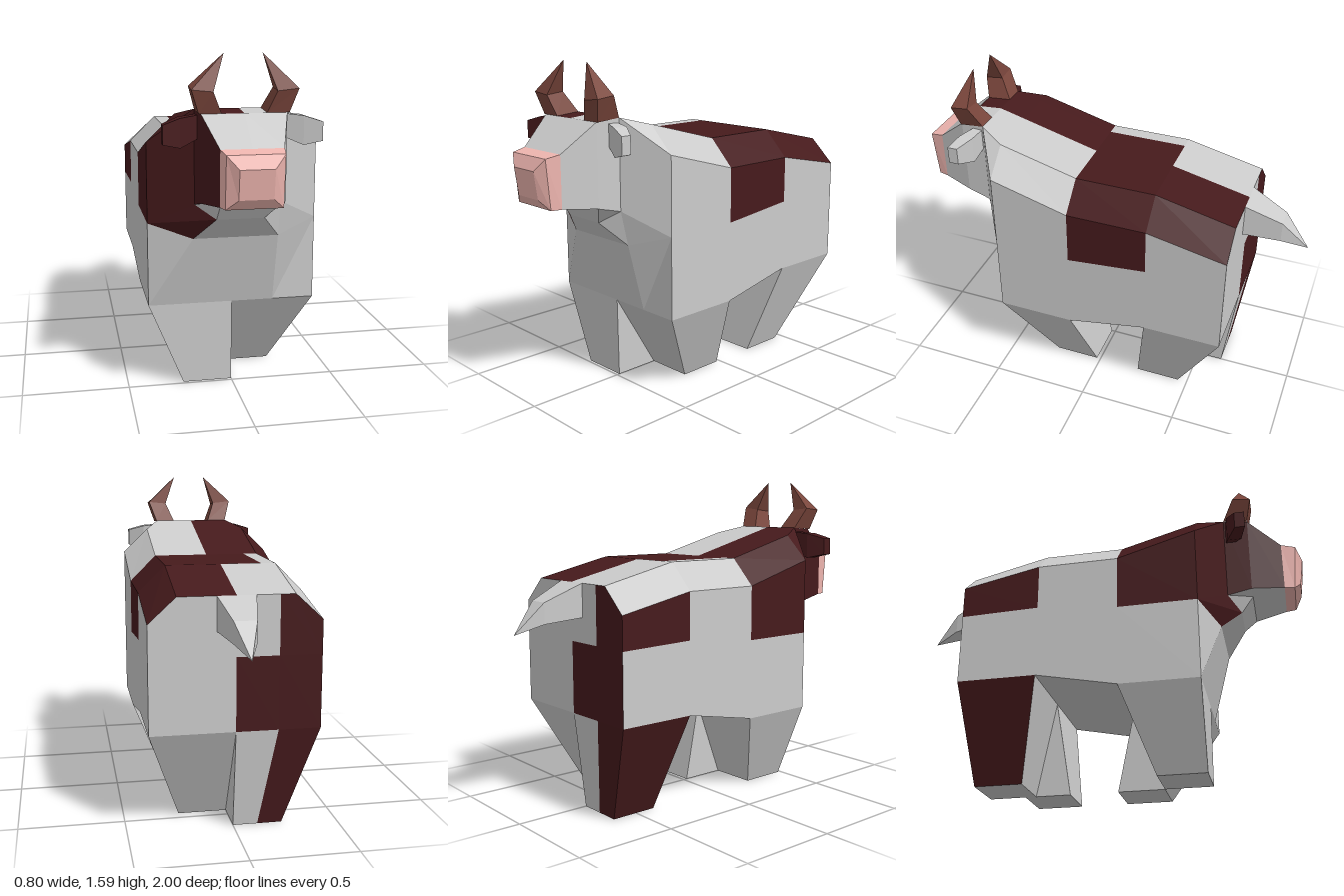
import * as THREE from 'three';

const COAT = 0xcccccc, PATCH = 0x461a1c, HORN = 0x7a463c, PINK = 0xeeb5af;

// One flat-shaded mesh from a list of convex faces (counter-clockwise corners)
function meshOf(name, color, faces) {
  const pos = [];
  for (const f of faces)
    for (let i = 1; i < f.length - 1; i++) pos.push(...f[0], ...f[i], ...f[i + 1]);
  const geo = new THREE.BufferGeometry();
  geo.setAttribute('position', new THREE.Float32BufferAttribute(pos, 3));
  geo.computeVertexNormals();
  const mesh = new THREE.Mesh(geo, new THREE.MeshStandardMaterial({ color, flatShading: true }));
  mesh.name = name;
  return mesh;
}

// A part collects faces by colour; faces are written for +x and mirrored for side -1
function makePart(name) {
  const buckets = new Map();
  const add = (side, color, ...face) => {
    const f = side > 0 ? face : face.map(([x, y, z]) => [-x, y, z]).reverse();
    if (!buckets.has(color)) buckets.set(color, []);
    buckets.get(color).push(f);
  };
  const build = () => {
    const group = new THREE.Group();
    group.name = name;
    for (const [color, faces] of buckets)
      group.add(meshOf(name + (color === PATCH ? 'Patch' : 'Surface'), color, faces));
    return group;
  };
  return { add, build };
}

// Skin a stack of rings; a one-point ring makes a tip. colorAt(i) colours each side
function loft(part, side, rings, colorAt) {
  for (let k = 0; k < rings.length - 1; k++) {
    const a = rings[k], b = rings[k + 1];
    a.forEach((p, i) => {
      const j = (i + 1) % a.length;
      if (b.length === 1) part.add(side, colorAt(i), p, a[j], b[0]);
      else part.add(side, colorAt(i), p, a[j], b[j], b[i]);
    });
  }
  const end = rings[rings.length - 1];
  if (end.length > 2) part.add(side, colorAt(0), ...end);
}

// Body sections: z, back height, shoulder, mid, belly
const SECTIONS = [
  [0.49, 1.305, 1.18, 0.8, 0.4],
  [0.1, 1.2, 1.07, 0.8, 0.4],
  [-0.3, 1.2, 1.07, 0.84, 0.48],
  [-0.69, 1.11, 0.99, 0.83, 0.48],
];
// Patched columns (0 = spine, 3 = flank) per section gap
const PATCHES = { 1: [[], [0, 1, 2, 3], [0, 1, 2]], '-1': [[0, 1, 2, 3], [0], [3]] };

function makeBody() {
  const body = makePart('body');
  const profile = ([z, top, sh, mid, bot]) =>
    [[0, top, z], [0.2, top, z], [0.27, top, z], [0.4, sh, z], [0.4, mid, z], [0.4, bot, z]];
  const rings = SECTIONS.map(profile);
  for (const s of [1, -1]) {
    const dark = s < 0 ? PATCH : COAT;
    // back and flanks
    for (let k = 0; k < 3; k++) {
      const a = rings[k], b = rings[k + 1];
      for (let i = 0; i < 5; i++)
        body.add(s, PATCHES[s][k].includes(i) ? PATCH : COAT, a[i], a[i + 1], b[i + 1], b[i]);
    }
    // belly
    body.add(s, COAT, [0, 0.4, 0.1], [0, 0.48, -0.3], [0.4, 0.48, -0.3], [0.4, 0.4, 0.1]);
    // rump
    const r = rings[3], [z, top, , mid, bot] = SECTIONS[3];
    const inner = [0.2, mid, z], hip = [0.2, bot, z];
    body.add(s, dark, [0, bot, z], [0, mid, z], inner, hip);
    body.add(s, dark, hip, inner, r[4], r[5]);
    body.add(s, COAT, [0, mid, z], [0, top, z], r[1], inner);
    body.add(s, dark, inner, r[1], r[2], r[3], r[4]);
    // chest
    const f = rings[0];
    const breast = [0.2, 0.74, 0.58], throat = [0.11, 0.85, 0.68];
    body.add(s, COAT, [0, 0.4, 0.49], [0.2, 0.4, 0.49], breast, [0, 0.74, 0.58]);
    body.add(s, COAT, [0.2, 0.4, 0.49], f[5], f[4], breast);
    // neck
    const nape = [0.2, 1.34, 0.62], jaw = [0.2, 0.91, 0.62];
    body.add(s, dark, f[0], [0, 1.34, 0.62], nape, f[1]);
    body.add(s, dark, f[1], nape, f[2]);
    body.add(s, dark, f[2], nape, f[3]);
    body.add(s, dark, nape, jaw, f[4], f[3]);
    body.add(s, dark, jaw, throat, breast, f[4]);
    // throat
    body.add(s, COAT, [0, 0.74, 0.58], breast, throat, [0, 0.85, 0.68]);
    body.add(s, COAT, [0, 0.85, 0.68], throat, [0.1, 0.94, 0.74], [0, 0.94, 0.74]);
    body.add(s, COAT, throat, jaw, [0.19, 0.94, 0.74], [0.1, 0.94, 0.74]);
  }
  return body.build();
}

// Tapered leg with the foot set forward or back for the stride
function makeLeg(name, side, topY, [tb, tf], [fb, ff], patched = []) {
  const leg = makePart(name);
  const ring = (x, y, b, f) => [[0, y, b], [x / 2, y, b], [x, y, b], [x, y, f], [0, y, f]];
  loft(leg, side, [ring(0.4, topY, tb, tf), ring(0.235, 0, fb, ff)],
    (i) => (patched.includes(i) ? PATCH : COAT));
  return leg.build();
}

function makeHead() {
  const head = makePart('head');
  // z, half width, bottom, top
  const cuts = [[0.62, 0.2, 0.91, 1.34], [0.74, 0.19, 0.94, 1.33], [0.9, 0.137, 0.955, 1.2]];
  for (const s of [1, -1]) {
    const dark = s < 0 ? PATCH : COAT;
    for (let k = 0; k < 2; k++) {
      const [az, ax, ab, at] = cuts[k], [bz, bx, bb, bt] = cuts[k + 1];
      head.add(s, dark, [bx, bt, bz], [bx, bb, bz], [ax, ab, az], [ax, at, az]);
      head.add(s, k ? COAT : dark, [0, at, az], [0, bt, bz], [bx, bt, bz], [ax, at, az]);
      head.add(s, COAT, [0, ab, az], [ax, ab, az], [bx, bb, bz], [0, bb, bz]);
    }
  }
  return head.build();
}

function makeMuzzle() {
  const muzzle = makePart('muzzle');
  const ring = (x, b, zb, t, zt) => [[-x, b, zb], [x, b, zb], [x, t, zt], [-x, t, zt]];
  loft(muzzle, 1, [
    ring(0.137, 0.955, 0.9, 1.2, 0.9),
    ring(0.125, 0.955, 0.95, 1.187, 0.97),
    ring(0.075, 1.0, 0.982, 1.13, 1.0),
  ], () => PINK);
  return muzzle.build();
}

function makeHorn(side, name) {
  const horn = makePart(name);
  loft(horn, side, [
    [[0.1, 1.33, 0.74], [0.2, 1.33, 0.74], [0.2, 1.34, 0.62], [0.1, 1.34, 0.62]],
    [[0.14, 1.425, 0.765], [0.235, 1.435, 0.765], [0.235, 1.445, 0.675], [0.14, 1.435, 0.675]],
    [[0.085, 1.585, 0.705]],
  ], () => HORN);
  return horn.build();
}

function makeEar(side, name) {
  const ear = makePart(name);
  const ring = (x, b, t, zb, zf) => [[x, t, zb], [x, t, zf], [x, b, zf], [x, b, zb]];
  loft(ear, side, [
    ring(0.18, 1.22, 1.32, 0.625, 0.67),
    ring(0.275, 1.18, 1.31, 0.64, 0.71),
    ring(0.355, 1.2, 1.285, 0.685, 0.735),
  ], () => (side < 0 ? PATCH : COAT));
  return ear.build();
}

function makeTail() {
  const tail = makePart('tail');
  const ring = (x, b, t, z) => [[-x, b, z], [-x, t, z], [x, t, z], [x, b, z]];
  loft(tail, 1, [ring(0.09, 0.95, 1.11, -0.69), ring(0.052, 0.93, 1.03, -0.87), [[0, 0.885, -1]]],
    () => COAT);
  return tail.build();
}

export function createModel() {
  const model = new THREE.Group();
  model.name = 'bull';
  model.add(makeBody(), makeHead(), makeMuzzle(), makeTail());
  for (const [s, label] of [[1, 'left'], [-1, 'right']])
    model.add(makeHorn(s, label + 'Horn'), makeEar(s, label + 'Ear'));
  model.add(
    makeLeg('leftFrontLeg', 1, 0.4, [0.1, 0.49], [0.02, 0.25]),
    makeLeg('rightFrontLeg', -1, 0.4, [0.1, 0.49], [0.25, 0.485]),
    makeLeg('leftRearLeg', 1, 0.48, [-0.69, -0.3], [-0.45, -0.22]),
    makeLeg('rightRearLeg', -1, 0.48, [-0.69, -0.3], [-0.63, -0.395], [1, 2]),
  );
  return model;
}
